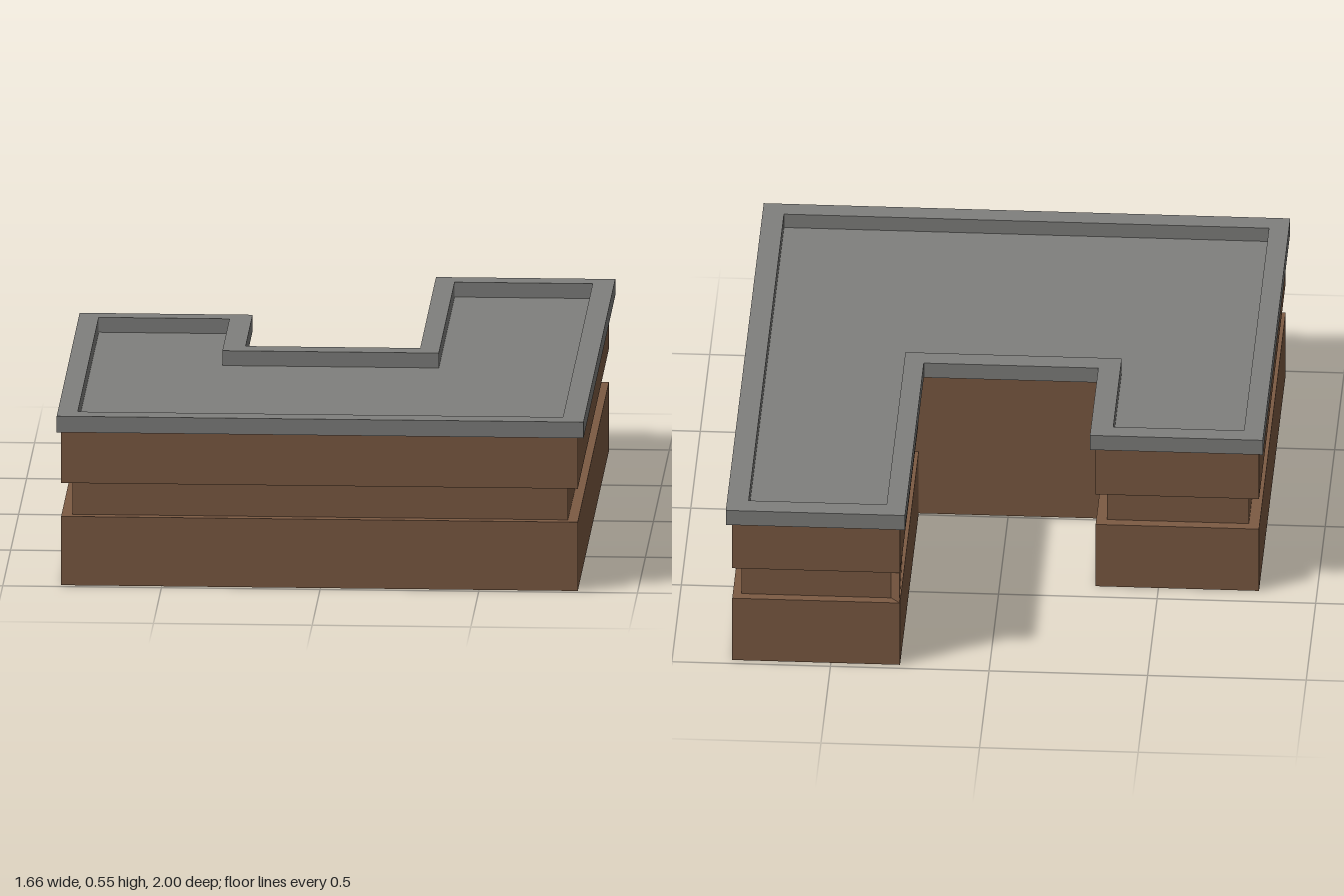
import * as THREE from 'three';

const brick = new THREE.MeshStandardMaterial({ color: 0x7d5b43 });
brick.name = 'brown wall';
const roofGrey = new THREE.MeshStandardMaterial({ color: 0x80807e });
roofGrey.name = 'grey roof';

// Plan points are [x, z], listed around the building from the front left corner.
const wallPlan = [
  [-0.817, 0.98], [0.811, 0.98], [0.811, -0.977], [0.282, -0.977],
  [0.282, 0.01], [-0.302, 0.01], [-0.302, -0.43], [-0.817, -0.43],
];
// Recessed band: set back on all sides except the courtyard end wall
const bandPlan = [
  [-0.783, 0.949], [0.778, 0.949], [0.784, -0.945], [0.312, -0.945], [0.284, -0.975],
  [0.314, 0.01], [-0.336, 0.01], [-0.336, -0.396], [-0.783, -0.396],
];
const roofPlan = [
  [-0.83, 1], [0.83, 1], [0.83, -1], [0.265, -1],
  [0.265, -0.007], [-0.285, -0.007], [-0.285, -0.445], [-0.83, -0.445],
];
const parapetInner = [
  [-0.767, 0.933], [0.762, 0.933], [0.762, -0.932], [0.327, -0.932],
  [0.327, 0.06], [-0.355, 0.06], [-0.355, -0.385], [-0.767, -0.385],
];

const toPoints = (plan) => plan.map(([x, z]) => new THREE.Vector2(x, -z));

// Raises a plan outline from y0 to y1, with an optional opening
function storey(name, plan, y0, y1, material, opening) {
  const shape = new THREE.Shape(toPoints(plan));
  if (opening) shape.holes.push(new THREE.Path(toPoints(opening)));
  const geometry = new THREE.ExtrudeGeometry(shape, { depth: y1 - y0, bevelEnabled: false });
  geometry.rotateX(-Math.PI / 2);
  geometry.translate(0, y0, 0);
  const mesh = new THREE.Mesh(geometry, material);
  mesh.name = name;
  return mesh;
}

export function createModel() {
  const model = new THREE.Group();
  model.name = 'building';

  // Walls with a recessed band between them
  model.add(storey('lowerWall', wallPlan, 0, 0.222, brick));
  model.add(storey('recessedBand', bandPlan, 0.222, 0.33, brick));
  model.add(storey('upperWall', wallPlan, 0.33, 0.498, brick));

  // Overhanging parapet around a sunken flat roof
  model.add(storey('parapet', roofPlan, 0.498, 0.55, roofGrey, parapetInner));
  model.add(storey('roofFloor', parapetInner, 0.498, 0.502, roofGrey));

  return model;
}
